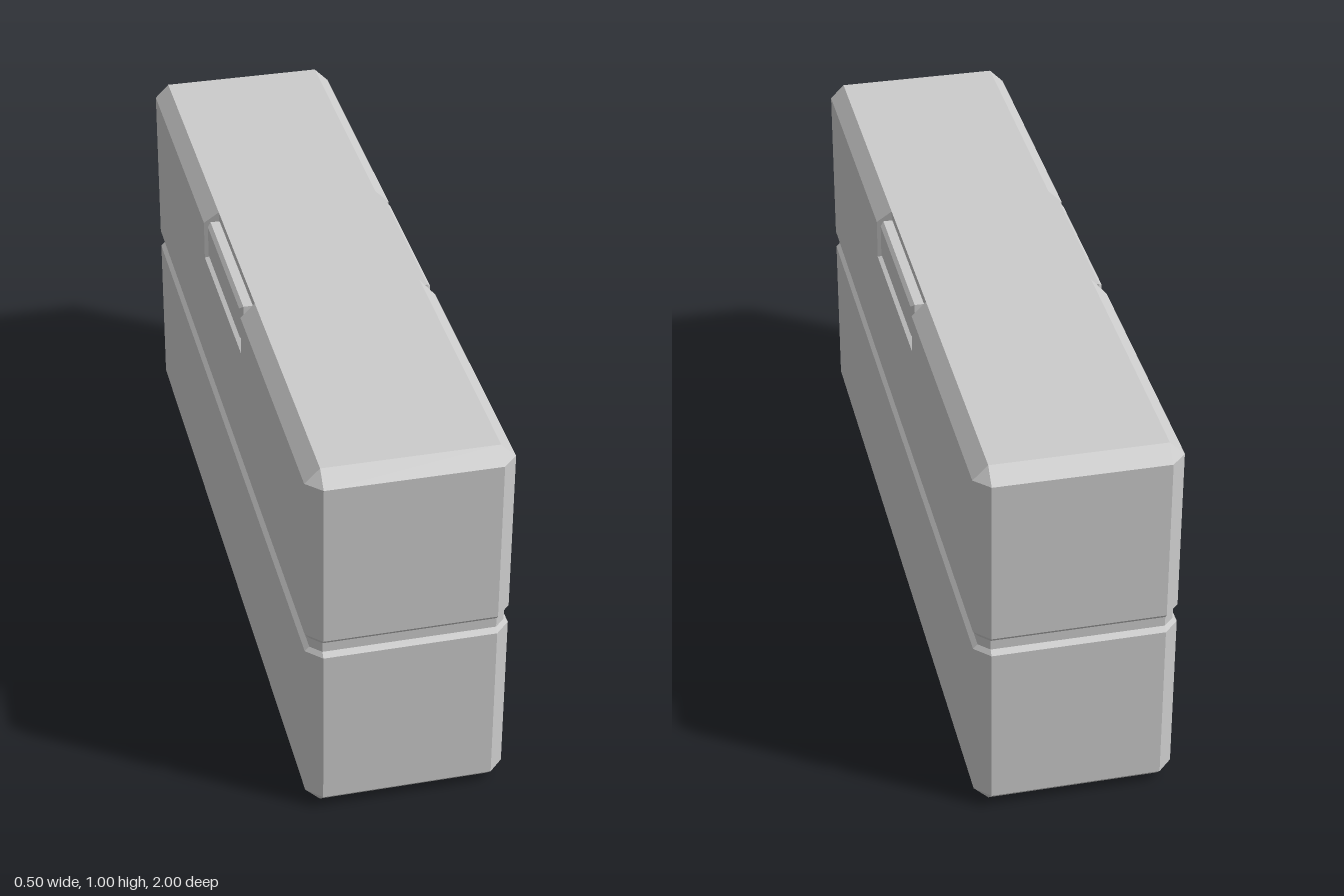
import * as THREE from 'three';

const HX = 0.25, HZ = 1, C = 0.037; // half width, half length, chamfer
const IX = HX - C, IZ = HZ - C;

// Plan outline at height y: octagon inset by `inset`, with a notch in each long side.
// notch: 0 = flush, 1 = full depth
function ring(y, inset, notch) {
  const hx = HX - inset, hz = HZ - inset;
  const zo = 0.24, zi = zo - 0.018 * notch, nx = hx + (IX - hx) * notch;
  const half = [
    [IX, hz], [hx, IZ], [hx, zo], [nx, zi],
    [nx, -zi], [hx, -zo], [hx, -IZ], [IX, -hz],
  ];
  return [...half, ...half.map(([x, z]) => [-x, -z])].map(([x, z]) => new THREE.Vector3(x, y, z));
}

// Skin a stack of rings and close both ends
function loft(rings) {
  const pos = [];
  const tri = (a, b, c) => {
    if (new THREE.Triangle(a, b, c).getArea() < 1e-9) return; // collapsed corners
    for (const p of [a, b, c]) pos.push(p.x, p.y, p.z);
  };
  const n = rings[0].length, last = rings[rings.length - 1];
  const bottom = new THREE.Vector3(0, rings[0][0].y, 0);
  const top = new THREE.Vector3(0, last[0].y, 0);
  for (let j = 0; j < n; j++) {
    const k = (j + 1) % n;
    for (let i = 0; i < rings.length - 1; i++) {
      const lo = rings[i], hi = rings[i + 1];
      tri(lo[j], lo[k], hi[k]);
      tri(lo[j], hi[k], hi[j]);
    }
    tri(bottom, rings[0][k], rings[0][j]);
    tri(top, last[j], last[k]);
  }
  const geo = new THREE.BufferGeometry();
  geo.setAttribute('position', new THREE.Float32BufferAttribute(pos, 3));
  geo.computeVertexNormals();
  return geo;
}

// Rectangular latch plate with bevelled edges, facing +z
function latchGeometry(w, h, depth, bevel) {
  const x = w / 2 - bevel, y = h / 2 - bevel;
  const shape = new THREE.Shape([[-x, -y], [x, -y], [x, y], [-x, y]].map(p => new THREE.Vector2(...p)));
  return new THREE.ExtrudeGeometry(shape, {
    depth: depth - bevel, bevelEnabled: true, bevelSize: bevel, bevelThickness: bevel, bevelSegments: 1,
  });
}

export function createModel() {
  const group = new THREE.Group();
  const material = new THREE.MeshStandardMaterial({ color: 0xcccccc, flatShading: true });

  // Chamfered case with a seam groove around the middle and latch notches at the top
  const levels = [
    [0, C, 0], [C, 0, 0],
    [0.475, 0, 0], [0.487, 0.011, 0], [0.513, 0.011, 0], [0.526, 0, 0],
    [0.857, 0, 0], [0.873, 0, 1], [1 - C, 0, 1], [1, C, 1],
  ];
  const body = new THREE.Mesh(loft(levels.map(l => ring(...l))), material);
  body.name = 'caseBody';
  group.add(body);

  // A latch plate sits in each notch
  const geo = latchGeometry(0.428, 0.102, 0.036, 0.009);
  for (const side of [1, -1]) {
    const latch = new THREE.Mesh(geo, material);
    latch.name = side > 0 ? 'leftLatch' : 'rightLatch';
    latch.position.set(side * 0.21, 0.927, 0);
    latch.rotation.y = side * Math.PI / 2;
    group.add(latch);
  }
  return group;
}
